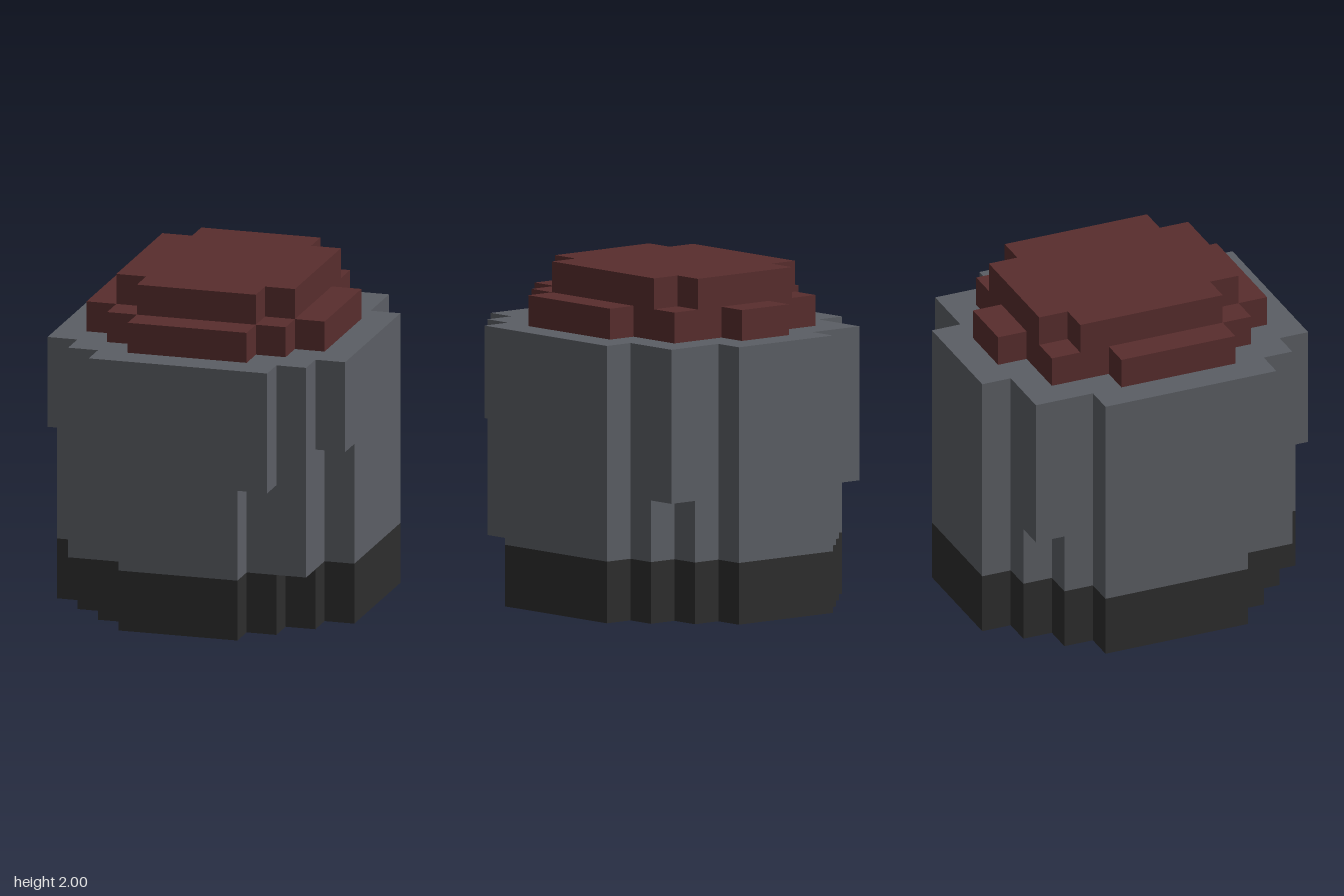
import * as THREE from 'three';

const U = 2 / 11; // size of one block

const shellGrey = new THREE.MeshStandardMaterial({ color: 0x5b5e64 });
shellGrey.name = 'shellGrey';
const baseBlack = new THREE.MeshStandardMaterial({ color: 0x2d2d2d });
baseBlack.name = 'baseBlack';
const lidRed = new THREE.MeshStandardMaterial({ color: 0x582d2d });
lidRed.name = 'lidRed';

// Stepped corners as [half width, z] in blocks, from the middle outwards
const FRONT_FULL = [[2, 5.5], [3, 4.5], [4, 3.5], [5, 2.5]];
const BACK_FULL = [[2, -5.5], [3, -4.5], [4, -3.5], [5, -2.5]];
const FRONT_LOW = [[2, 5.5], [4, 4.5], [5, 2.5]];
const BACK_HIGH = [[2, -5.5], [4, -4.5], [5, -2.5]];

// Each layer: name, material, bottom, top, front steps, back steps
const LAYERS = [
  ['base', baseBlack, 0, 2, FRONT_FULL, BACK_FULL],
  ['shellFoot', shellGrey, 2, 4, FRONT_LOW, BACK_FULL],
  ['shellLower', shellGrey, 4, 5, FRONT_LOW, BACK_HIGH],
  ['shellMiddle', shellGrey, 5, 6, [[3, 5.5], [4, 4.5], [5, 2.5]], BACK_HIGH],
  ['shellUpper', shellGrey, 6, 9, [[3, 5.5], [4, 4.5], [5, 3.5]], BACK_HIGH],
  ['lidRim', lidRed, 9, 10, [[2, 4.5], [3, 3.5], [4, 2.5]], [[1, -4.5], [3, -3.5], [4, -1.5]]],
  ['lidTop', lidRed, 10, 11, [[2, 3.5], [3, 2.5]], [[2, -3.5], [3, -2.5]]],
];

// Turn corner steps into a staircase line
function stairs(steps) {
  const points = [];
  steps.forEach(([x, z], i) => {
    points.push([x, z]);
    if (i < steps.length - 1) points.push([x, steps[i + 1][1]]);
  });
  return points;
}

// Mirrored stepped outline raised into a slab
function slab(bottom, top, front, back) {
  const side = [...stairs(front), ...stairs(back).reverse()];
  const mirrored = side.map(([x, z]) => [-x, z]).reverse();
  const outline = [...side, ...mirrored].map(([x, z]) => new THREE.Vector2(x * U, -z * U));
  const geometry = new THREE.ExtrudeGeometry(new THREE.Shape(outline), {
    depth: (top - bottom) * U,
    bevelEnabled: false,
  });
  geometry.rotateX(-Math.PI / 2);
  geometry.translate(0, bottom * U, 0);
  return geometry;
}

export function createModel() {
  const model = new THREE.Group();
  model.name = 'blockBarrel';
  for (const [name, material, bottom, top, front, back] of LAYERS) {
    const mesh = new THREE.Mesh(slab(bottom, top, front, back), material);
    mesh.name = name;
    model.add(mesh);
  }
  return model;
}
